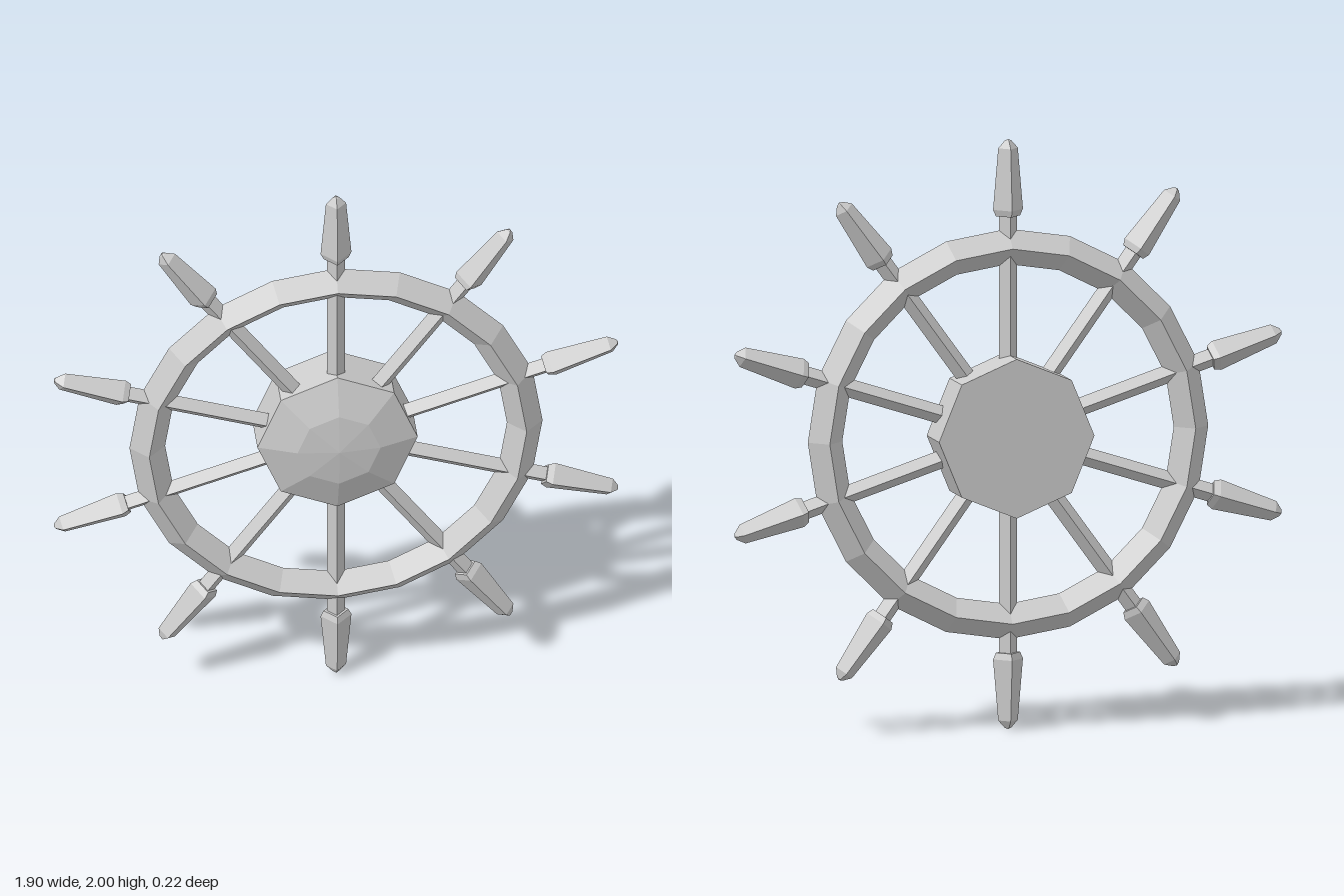
import * as THREE from 'three';

const SPOKES = 10;
const material = new THREE.MeshStandardMaterial({ color: 0xcccccc, flatShading: true });

// Faceted turned part: profile of [radius, height] from bottom to top
function turned(name, profile, sides) {
  const points = profile.map(([r, y]) => new THREE.Vector2(r, y));
  const mesh = new THREE.Mesh(new THREE.LatheGeometry(points, sides), material);
  mesh.name = name;
  return mesh;
}

export function createModel() {
  const wheel = new THREE.Group();
  wheel.name = 'shipWheel';
  wheel.position.y = 1;

  // Rim with a diamond cross-section
  const rim = new THREE.Mesh(new THREE.TorusGeometry(0.636, 0.06, 4, 20), material);
  rim.name = 'rim';
  wheel.add(rim);

  // Octagonal hub, flat at the back and domed at the front
  const hub = turned('hub', [[0, -0.11], [0.27, -0.11], [0.27, 0.045], [0.14, 0.092], [0, 0.106]], 8);
  hub.rotation.x = Math.PI / 2;
  wheel.add(hub);

  // Square spokes running through the rim into tapered handles
  for (let i = 0; i < SPOKES; i++) {
    const arm = new THREE.Group();
    arm.name = 'spokeAndHandle';
    arm.rotation.z = (i / SPOKES) * Math.PI * 2;
    arm.add(
      turned('spoke', [[0.031, 0.1], [0.031, 0.755]], 4),
      turned('handle', [[0, 0.74], [0.042, 0.74], [0.052, 0.762], [0.034, 0.97], [0.012, 0.995], [0, 1]], 4)
    );
    wheel.add(arm);
  }

  const model = new THREE.Group();
  model.add(wheel);
  return model;
}
